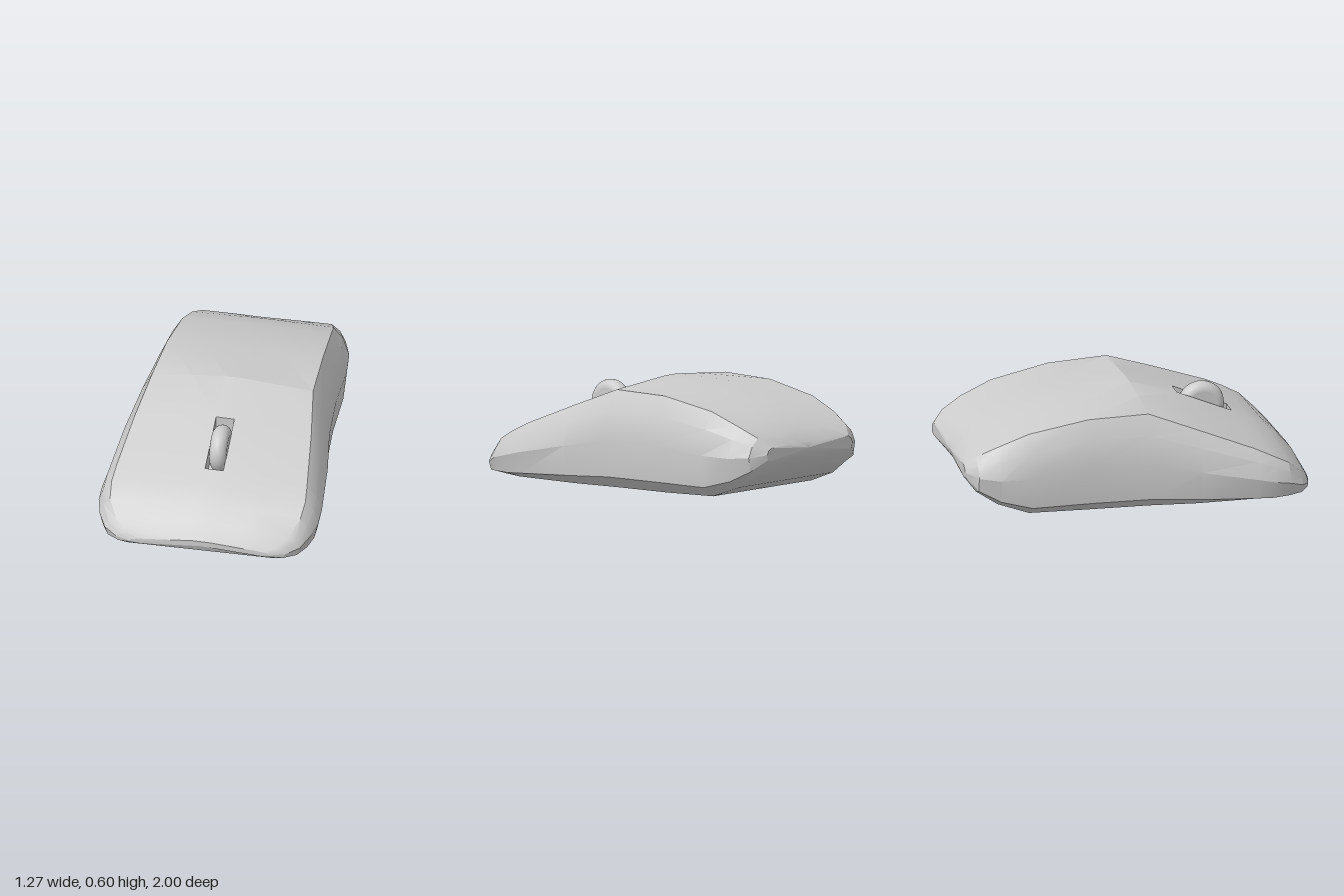
import * as THREE from 'three';
import { toCreasedNormals } from 'three/addons/utils/BufferGeometryUtils.js';

const SLOT_LEFT = 0.065, SLOT_RIGHT = -0.04, SLOT_FRONT = 0.65;
const SLOT_CELL = 7; // ring span that the slot is cut through

// Cross-sections, front to back:
// z, crown y, shoulder half-width and y, widest half-width, bottom half-width and y
const SECTIONS = [
  [1.0, 0.095, 0.36, 0.065, 0.41, 0.36, 0.035],
  [0.98, 0.12, 0.43, 0.09, 0.49, 0.42, 0.02],
  [0.93, 0.18, 0.5, 0.14, 0.565, 0.47, 0.01],
  [0.85, 0.255, 0.55, 0.215, 0.61, 0.5, 0.005],
  [0.75, 0.31, 0.56, 0.27, 0.635, 0.51, 0],
  [0.65, 0.36, 0.55, 0.32, 0.635, 0.51, 0],
  [0.33, 0.505, 0.51, 0.45, 0.605, 0.5, 0],
  [0.05, 0.6, 0.465, 0.56, 0.56, 0.46, 0],
  [-0.3, 0.565, 0.45, 0.555, 0.53, 0.43, 0],
  [-0.64, 0.51, 0.43, 0.495, 0.522, 0.42, 0.01],
  [-0.82, 0.435, 0.41, 0.425, 0.5, 0.4, 0.075],
  [-0.94, 0.375, 0.375, 0.365, 0.455, 0.375, 0.155],
  [-1.0, 0.31, 0.33, 0.31, 0.365, 0.33, 0.235],
];

// Closed ring of one section, counterclockwise from the bottom centre
function sectionRing([z, crown, ws, ys, wm, wb, yb]) {
  const mix = THREE.MathUtils.lerp;
  const ym = mix(yb, ys, 0.5);
  const side = [
    [wb, yb],
    [mix(wb, wm, 0.8), mix(yb, ym, 0.24)],
    [wm, ym],
    [mix(wm, ws, 0.38), mix(ym, ys, 0.6)],
    [ws, ys],
  ];
  const top = [ws * 0.5, SLOT_LEFT, SLOT_RIGHT, -ws * 0.5]
    .map((x) => [x, crown - (crown - ys) * Math.abs(x) / ws]);
  const mirrored = side.map(([x, y]) => [-x, y]).reverse();
  // the nose lip arches up in the middle, the tail has a shallow dip
  const arch = z === 1 ? 0.03 : 0;
  return [[0, yb + arch], ...side, ...top, ...mirrored].map(([x, y]) =>
    new THREE.Vector3(x, y, z < -0.9 ? z + 0.02 * Math.max(0, 1 - Math.abs(x) / 0.3) : z));
}

function fromTriangles(tris) {
  return new THREE.BufferGeometry().setFromPoints(tris);
}

function shellGeometry(rings) {
  const tris = [], n = rings[0].length;
  for (let i = 0; i < rings.length - 1; i++) {
    for (let j = 0; j < n; j++) {
      if (j === SLOT_CELL && SECTIONS[i][0] === SLOT_FRONT) continue;
      const k = (j + 1) % n;
      const a = rings[i][j], b = rings[i][k], c = rings[i + 1][k], d = rings[i + 1][j];
      tris.push(a, d, c, a, c, b);
    }
  }
  // nose and tail caps
  const first = rings[0], last = rings[rings.length - 1];
  const middle = (r) => r.reduce((s, p) => s.add(p), new THREE.Vector3()).divideScalar(n);
  const nose = middle(first), tail = middle(last);
  for (let j = 0; j < n; j++) {
    const k = (j + 1) % n;
    tris.push(nose, first[j], first[k], tail, last[k], last[j]);
  }
  return toCreasedNormals(fromTriangles(tris), 0.4);
}

// Walls and floor of the recess around the wheel
function slotGeometry(rings) {
  const i = SECTIONS.findIndex((s) => s[0] === SLOT_FRONT);
  const rim = [rings[i][SLOT_CELL], rings[i][SLOT_CELL + 1],
    rings[i + 1][SLOT_CELL + 1], rings[i + 1][SLOT_CELL]];
  const floor = rim.map((p) => new THREE.Vector3(p.x, p.y - 0.11, p.z));
  const tris = [floor[0], floor[3], floor[2], floor[0], floor[2], floor[1]];
  for (let k = 0; k < 4; k++) {
    const m = (k + 1) % 4;
    tris.push(rim[k], rim[m], floor[m], rim[k], floor[m], floor[k]);
  }
  const geometry = fromTriangles(tris);
  geometry.computeVertexNormals();
  return geometry;
}

export function createModel() {
  const model = new THREE.Group();
  model.name = 'computerMouse';
  const grey = new THREE.MeshStandardMaterial({ color: 0xcccccc });
  const greyDouble = new THREE.MeshStandardMaterial({ color: 0xcccccc, side: THREE.DoubleSide });
  const add = (parent, name, geometry, material = grey) => {
    const mesh = new THREE.Mesh(geometry, material);
    mesh.name = name;
    parent.add(mesh);
  };

  const rings = SECTIONS.map(sectionRing);
  add(model, 'bodyShell', shellGeometry(rings));
  add(model, 'wheelSlot', slotGeometry(rings), greyDouble);

  // Scroll wheel: round tyre on a plain hub
  const wheel = new THREE.Group();
  wheel.name = 'scrollWheel';
  wheel.position.set(0.018, 0.395, 0.485);
  add(wheel, 'wheelTyre', new THREE.TorusGeometry(0.085, 0.05, 16, 40).rotateY(Math.PI / 2));
  add(wheel, 'wheelHub', new THREE.CylinderGeometry(0.085, 0.085, 0.098, 32).rotateZ(Math.PI / 2));
  model.add(wheel);

  return model;
}
